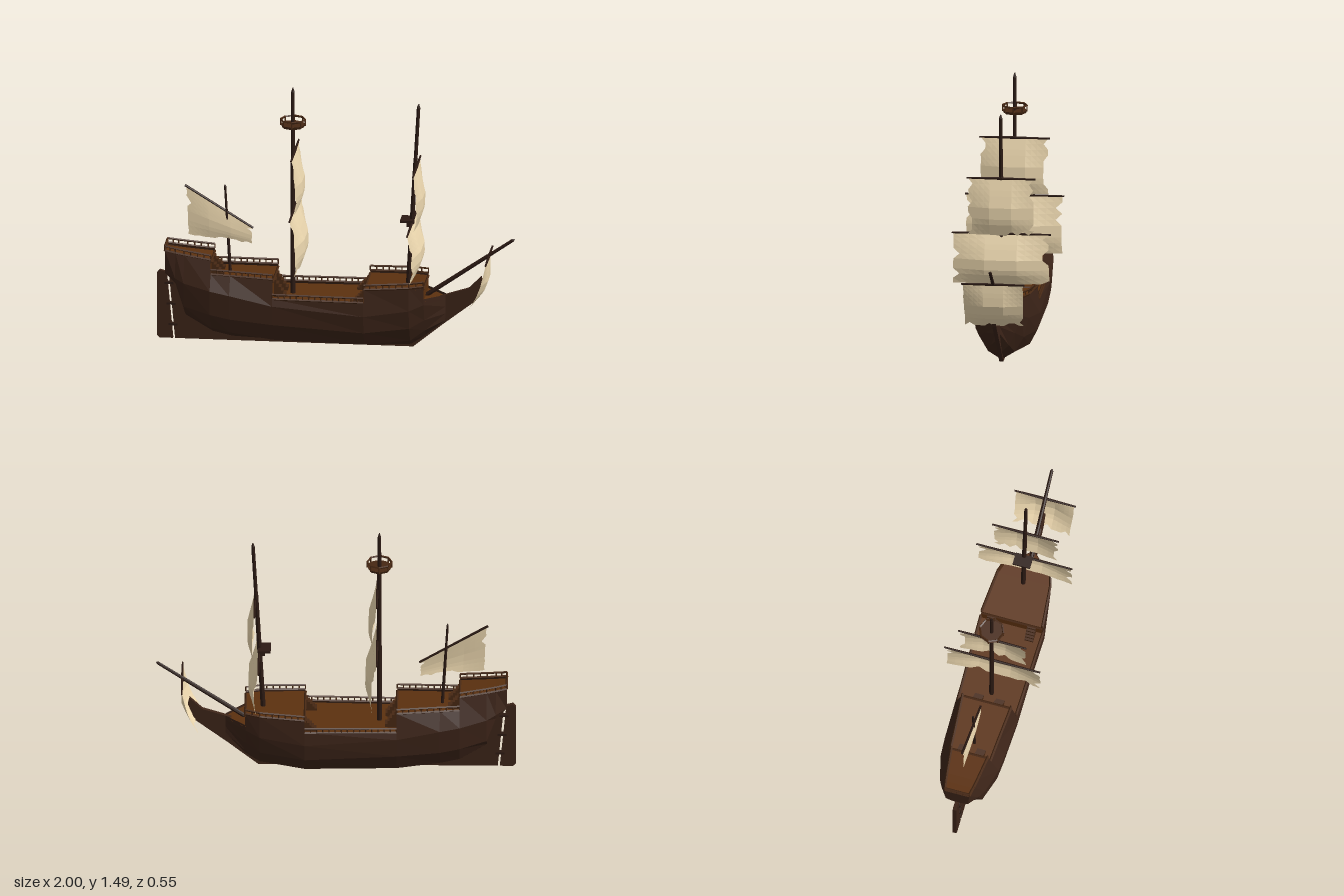
import * as THREE from 'three';
import { mergeGeometries } from 'three/addons/utils/BufferGeometryUtils.js';

const mat = (color) => new THREE.MeshStandardMaterial({ color, flatShading: true, side: THREE.DoubleSide });
const HULL = mat(0x3c2418), DECK = mat(0x5c310f), TRIM = mat(0x472813), SPAR = mat(0x2c1a13), SAIL = mat(0xeed9b0);
const V = (x, y, z = 0) => new THREE.Vector3(x, y, z);

// Hull stations from stern to bow: x, then y and half width at bulge, bilge and floor, then keel y
const STATIONS = [
  [-0.95, .40, .065, .39, .05, .385, .03, .38],
  [-0.89, .38, .105, .35, .09, .33, .05, .31],
  [-0.84, .36, .13, .22, .115, .17, .06, .14],
  [-0.69, .33, .167, .19, .157, .10, .11, .05],
  [-0.58, .31, .175, .17, .165, .08, .12, .025],
  [-0.34, .26, .182, .15, .175, .05, .13, .015],
  [0.17, .22, .188, .12, .172, .04, .13, .01],
  [0.42, .25, .152, .14, .125, .055, .075, .015],
  [0.5, .28, .12, .18, .085, .11, .05, .07],
  [0.61, .28, .014, .24, .012, .2, .012, .16],
];
// Deck levels: first station, then y and half width of the sheer at each station
const LEVELS = [
  [0, [.53, .07], [.52, .08], [.513, .087], [.495, .105]],
  [3, [.415, .115], [.412, .122], [.405, .14]],
  [5, [.30, .168], [.30, .18]],
  [6, [.375, .175], [.385, .152], [.388, .125]],
  [8, [.315, .122], [.31, .014]],
];
// Sections as x followed by (y, z) rows from sheer to keel
const SECTIONS = LEVELS.flatMap(([first, ...tops]) => tops.map((top, i) => {
  const [x, y1, z1, y2, z2, y3, z3, keel] = STATIONS[first + i];
  return [x, top, [y1, z1], [y2, z2], [y3, z3], [keel, .01]];
}));
const INSET = 0.014;

function quads(list) {
  const pos = [];
  for (const [a, b, c, d] of list) for (const p of [a, b, c, a, c, d]) pos.push(p.x, p.y, p.z);
  const g = new THREE.BufferGeometry();
  g.setAttribute('position', new THREE.Float32BufferAttribute(pos, 3));
  g.computeVertexNormals();
  return g;
}

// Round or square bar between two points
function bar(a, b, r0, r1 = r0, sides = 4) {
  const d = b.clone().sub(a);
  const g = new THREE.CylinderGeometry(r1, r0, d.length(), sides);
  g.applyQuaternion(new THREE.Quaternion().setFromUnitVectors(V(0, 1), d.normalize()));
  const m = a.clone().add(b).multiplyScalar(0.5);
  return g.translate(m.x, m.y, m.z);
}

function box(w, h, d, x, y, z) {
  return new THREE.BoxGeometry(w, h, d).translate(x, y, z);
}

// Posts with a foot beam and a hand rail along a line
function railing(a, b) {
  const out = [], up = V(0, 0.026), n = Math.max(1, Math.round(a.distanceTo(b) / 0.035));
  for (let i = 0; i <= n; i++) {
    const p = a.clone().lerp(b, i / n);
    out.push(bar(p, p.clone().add(up), 0.004));
  }
  out.push(bar(a, b, 0.007), bar(a.clone().add(up), b.clone().add(up), 0.006));
  return out;
}

// Flat plate in the centre plane
function plate(points, t) {
  const s = new THREE.Shape(points.map(([x, y]) => new THREE.Vector2(x, y)));
  return new THREE.ExtrudeGeometry(s, { depth: t, bevelEnabled: false }).translate(0, 0, -t / 2);
}

// Bellied cloth between four corners, with ragged sides and foot
function sail(tl, tr, bl, br, belly, seed) {
  const nu = 12, nv = 10, pts = [], knots = [0, 0.55, 1, 1, 0.4];
  let s = seed;
  const rnd = () => (s = (s * 16807) % 2147483647) / 2147483647;
  const rowBelly = (v) => {
    const k = Math.min(3, Math.floor(v * 4));
    return THREE.MathUtils.lerp(knots[k], knots[k + 1], v * 4 - k);
  };
  for (let j = 0; j <= nv; j++) for (let i = 0; i <= nu; i++) {
    let u = i / nu, v = j / nv;
    const torn = rnd();
    if (j > 0 && j < nv && (i === 0 || i === nu)) u += (i ? -1 : 1) * (torn > 0.75 ? 0.07 : torn * 0.015);
    if (j === nv) v -= torn > 0.8 ? 0.08 : torn * 0.02;
    const across = Math.min(1, (1 - Math.abs(2 * u - 1)) * 1.5);
    const p = tl.clone().lerp(tr, u).lerp(bl.clone().lerp(br, u), v);
    pts.push(p.addScaledVector(belly, rowBelly(v) * (0.35 + 0.65 * across)));
  }
  const cells = [];
  for (let j = 0; j < nv; j++) for (let i = 0; i < nu; i++) {
    const k = j * (nu + 1) + i;
    cells.push([pts[k], pts[k + nu + 1], pts[k + nu + 2], pts[k + 1]]);
  }
  return quads(cells);
}

export function createModel() {
  const ship = new THREE.Group();
  const add = (name, geo, material) => {
    const list = [geo].flat().map((g) => {
      const n = g.index ? g.toNonIndexed() : g;
      n.deleteAttribute('uv');
      return n;
    });
    const mesh = new THREE.Mesh(mergeGeometries(list), material);
    mesh.name = name;
    ship.add(mesh);
  };

  // Hull planking, decks, bulkheads and railings, all from the sections
  const shell = [], decks = [], walls = [], rails = [];
  const at = (s, r, side) => V(s[0], s[r][0], s[r][1] * side);
  const deckAt = (s, side) => V(s[0], s[1][0] - INSET, s[1][1] * side);
  for (let i = 0; i + 1 < SECTIONS.length; i++) {
    const a = SECTIONS[i], b = SECTIONS[i + 1];
    const across = [deckAt(a, 1), deckAt(b, 1), deckAt(b, -1), deckAt(a, -1)];
    if (a[0] === b[0]) {
      const upper = a[1][0] > b[1][0] ? a : b;
      walls.push(across);
      rails.push(bar(deckAt(upper, 1), deckAt(upper, -1), 0.007));
      for (const k of [1, -1]) shell.push([at(a, 1, k), at(b, 1, k), at(b, 2, k), at(a, 2, k)]);
      continue;
    }
    decks.push(across);
    for (const k of [1, -1]) {
      for (let r = 1; r < 5; r++) {
        const q = [at(a, r, k), at(a, r + 1, k), at(b, r + 1, k), at(b, r, k)];
        shell.push(k > 0 ? q : q.reverse());
      }
      if (b[0] < 0.55) rails.push(...railing(at(a, 1, k), at(b, 1, k)));
    }
    shell.push([at(a, 5, 1), at(a, 5, -1), at(b, 5, -1), at(b, 5, 1)]);
  }
  const stern = SECTIONS[0];
  for (let r = 1; r < 5; r++) shell.push([at(stern, r, 1), at(stern, r, -1), at(stern, r + 1, -1), at(stern, r + 1, 1)]);
  rails.push(...railing(at(stern, 1, 1), at(stern, 1, -1)));
  add('hull', quads(shell), HULL);
  add('decks', quads(decks), DECK);
  add('bulkheads', quads(walls), DECK);
  add('railings', rails, TRIM);

  // Keel with stem and beak, then the rudder
  add('keel', plate([[-.9, 0], [.43, 0], [.6, .14], [.78, .28], [.82, .38], [.81, .42], [.74, .35], [.6, .305],
    [.45, .25], [.3, .06], [-.7, .09], [-.84, .3], [-.935, .39]], 0.022), HULL);
  add('rudder', plate([[-.985, 0], [-.912, 0], [-.948, .385], [-.985, .395], [-1, .38], [-1, .015]], 0.022), HULL);
  add('rudderHinges', [.08, .2, .32].map((y) => box(.05, .012, .026, -.905 - y * .09, y, 0)), SPAR);

  // Stairs climbing to the raised decks
  const stairs = [];
  const flight = (x, dir, y0, y1, z) => {
    for (let i = 0; i < 5; i++) {
      const h = (y1 - y0) * (i + 1) / 5;
      stairs.push(box(.013, h, .05, x + dir * .013 * (i - 4.5), y0 + h / 2, z));
    }
  };
  for (const k of [1, -1]) {
    flight(.17, 1, .286, .355, .115 * k);
    flight(-.34, -1, .286, .385, .06 * k);
    flight(-.69, -1, .4, .475, .05 * k);
  }
  add('stairs', stairs, TRIM);

  // Masts and bowsprit with pointed tips
  const spar = (name, a, b, r) => {
    const tip = a.clone().lerp(b, 0.98), mid = a.clone().lerp(b, 0.7);
    add(name, [bar(a, mid, r, r * .85, 8), bar(mid, tip, r * .75, r * .7, 8), bar(tip, b, r * .7, r * .2, 8)], SPAR);
  };
  spar('mainMast', V(-.243, .27), V(-.243, 1.485), .014);
  spar('foreMast', V(.402, .36), V(.46, 1.415), .014);
  spar('mizzenMast', V(-.592, .39), V(-.622, .905), .009);
  spar('bowsprit', V(.5, .30), V(.995, .645), .013);

  // Crow's nest and foremast platform
  const nest = [new THREE.CylinderGeometry(.07, .062, .016, 8).translate(-.243, 1.265, 0)];
  const rim = (n, y) => V(-.243 + .068 * Math.sin(n * Math.PI / 4), y, .068 * Math.cos(n * Math.PI / 4));
  for (let i = 0; i < 8; i++) {
    nest.push(bar(rim(i, 1.265), rim(i, 1.3), .004), bar(rim(i, 1.3), rim(i + 1, 1.3), .006));
  }
  add('crowsNest', nest, TRIM);
  add('foreMastPlatform', [box(.07, .012, .1, .395, .74, 0), box(.03, .035, .05, .408, .72, 0)], SPAR);

  // Square sails: name, yard x and y, yard half length, foot x and y, foot half width, belly
  const square = [
    ['mainCourse', -.232, .79, .277, -.215, .465, .27, .055],
    ['mainTopsail', -.232, 1.117, .197, -.222, .8, .19, .043],
    ['foreCourse', .425, .728, .277, .43, .445, .27, .055],
    ['foreTopsail', .448, 1.048, .192, .445, .725, .185, .043],
    ['spritsail', .852, .54, .177, .755, .285, .165, .05],
  ];
  square.forEach(([name, x, y, w, fx, fy, fw, belly], i) => {
    add(name + 'Yard', [w, -w].map((z) => bar(V(x, y), V(x, y, z), .008, .005, 6)), SPAR);
    add(name, sail(V(x, y, w - .008), V(x, y, .008 - w), V(fx, fy, fw), V(fx, fy, -fw), V(belly, 0), 911 + i * 7331), SAIL);
  });

  // Mizzen sail on its slanting yard
  add('mizzenYard', bar(V(-.845, .893), V(-.465, .657), .007, .006, 6), SPAR);
  add('mizzenSail', sail(V(-.84, .888), V(-.47, .66), V(-.825, .605), V(-.47, .565), V(0, 0, .012), 4242), SAIL);

  return ship;
}
